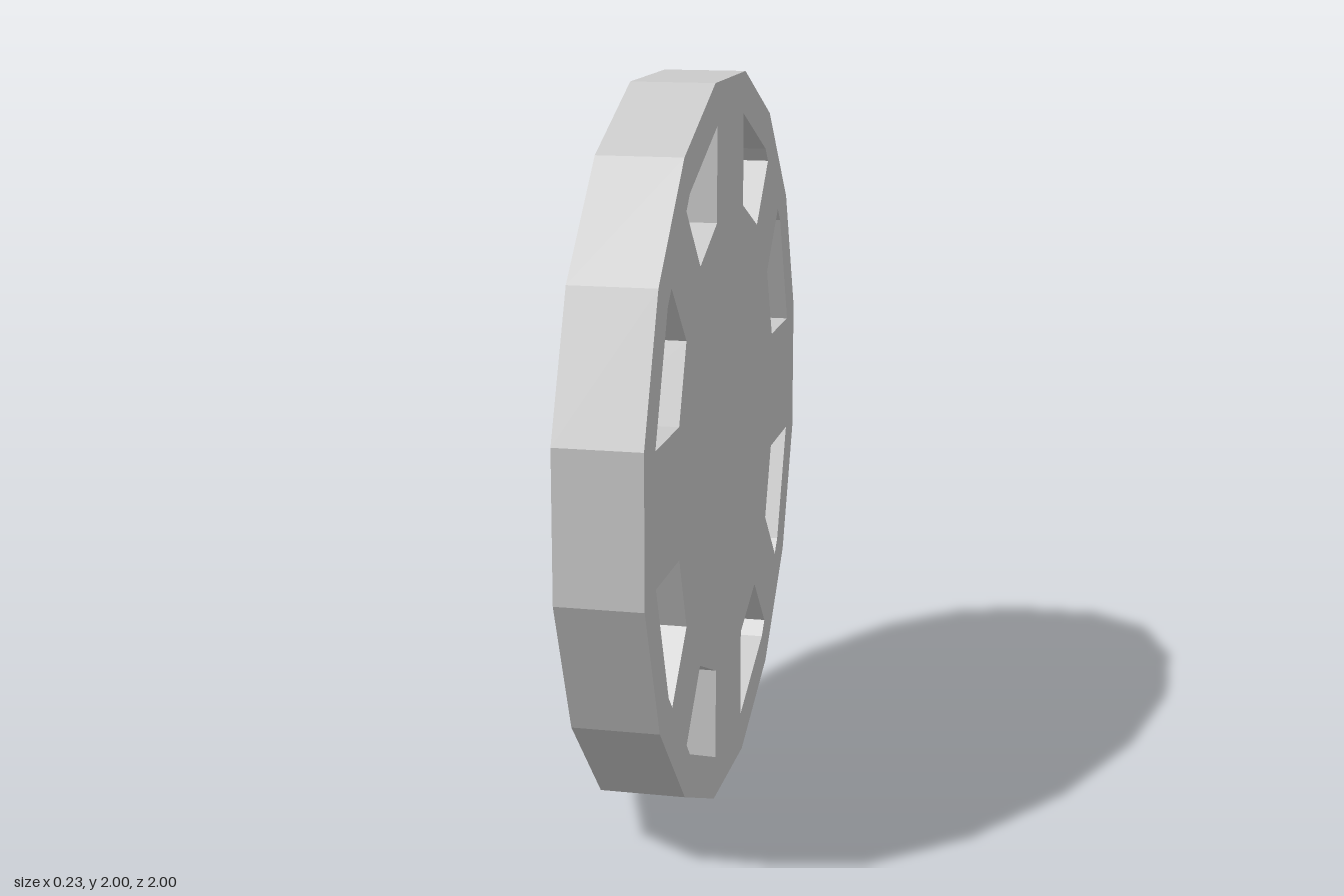
import * as THREE from 'three';

const SIDES = 16;
const THICKNESS = 0.23;

// One window next to a spoke; the others are its mirrors and quarter turns.
const WINDOW = [[0.175, 0.885], [0.175, 0.628], [0.38, 0.544], [0.544, 0.71], [0.505, 0.75]];

function wheelShape() {
  // Sixteen-sided rim with flats at top, bottom and both sides
  const radius = 1 / Math.cos(Math.PI / SIDES);
  const rim = [];
  for (let i = 0; i < SIDES; i++) {
    const a = ((i + 0.5) / SIDES) * Math.PI * 2;
    rim.push(new THREE.Vector2(Math.cos(a) * radius, Math.sin(a) * radius));
  }
  const shape = new THREE.Shape(rim);

  // Eight windows, mirrored about each spoke
  const centre = new THREE.Vector2();
  for (let quarter = 0; quarter < 4; quarter++) {
    for (const side of [-1, 1]) {
      const points = WINDOW.map(([u, v]) =>
        new THREE.Vector2(u * side, v).rotateAround(centre, quarter * Math.PI / 2));
      shape.holes.push(new THREE.Path(points));
    }
  }
  return shape;
}

export function createModel() {
  const group = new THREE.Group();
  group.name = 'spokedWheel';

  const geometry = new THREE.ExtrudeGeometry(wheelShape(), { depth: THICKNESS, bevelEnabled: false });
  geometry.translate(0, 0, -THICKNESS / 2);
  geometry.rotateY(Math.PI / 2);
  geometry.translate(0, 1, 0);

  const wheel = new THREE.Mesh(
    geometry,
    new THREE.MeshStandardMaterial({ color: 0xcccccc, flatShading: true }));
  wheel.name = 'wheelDisc';
  group.add(wheel);
  return group;
}
